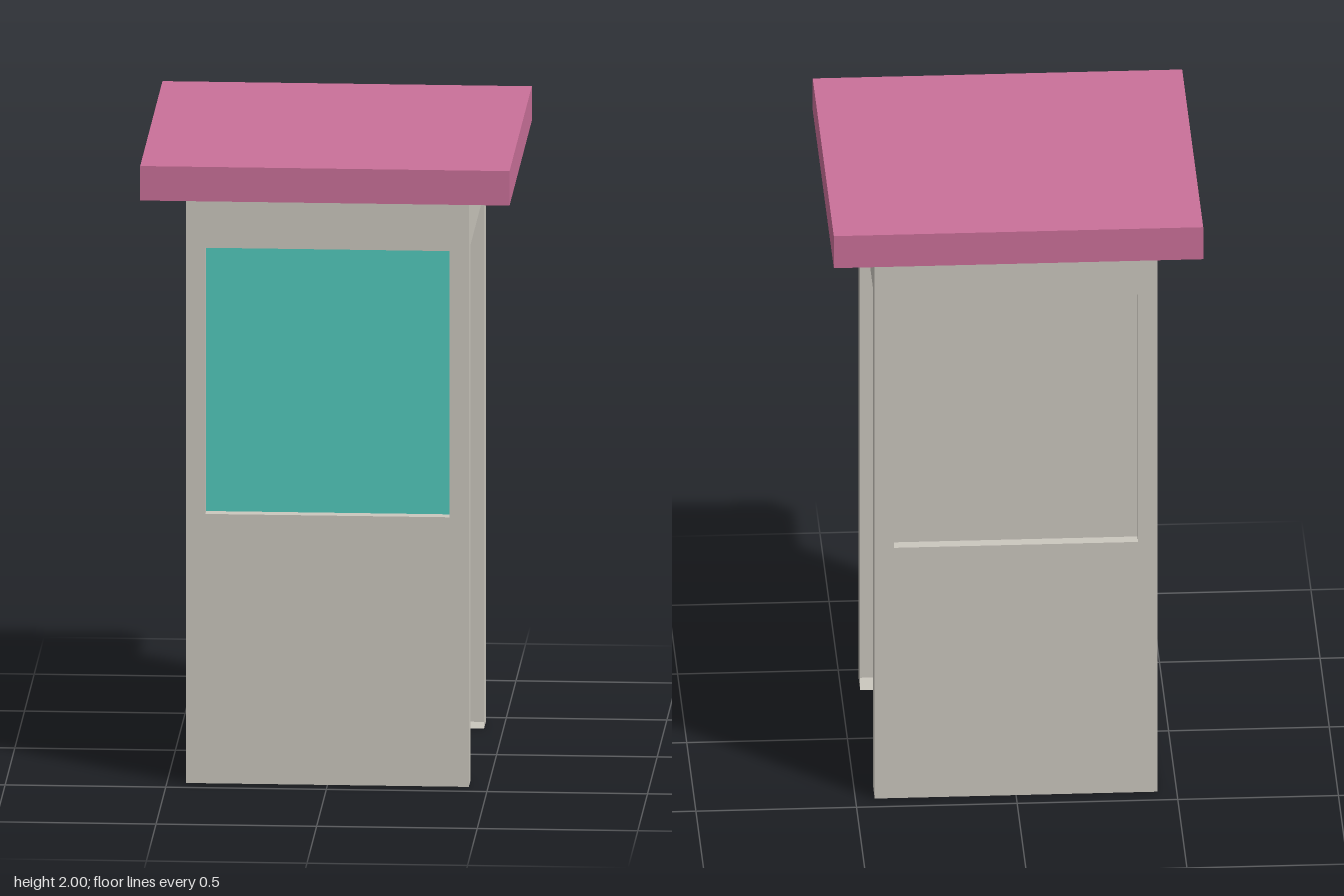
import * as THREE from 'three';

const W = 0.44, TOP = 1.89;            // half width and height of the walls
const WIN_LOW = 0.86, WIN_HIGH = 1.71; // window sill and head
const RECESS = 0.04;                   // depth of the window recess
const JAMB = 0.35;                     // half width of doorway and side window

const paint = (color) => new THREE.MeshStandardMaterial({ color, side: THREE.DoubleSide });

function rect(Type, x0, y0, x1, y1) {
  const r = new Type();
  r.moveTo(x0, y0).lineTo(x1, y0).lineTo(x1, y1).lineTo(x0, y1).closePath();
  return r;
}

export function createModel() {
  const wallMat = paint(0xcbc7be), glassMat = paint(0x52cabd), roofMat = paint(0xca7099);
  const booth = new THREE.Group();
  booth.name = 'booth';

  const add = (parent, name, geometry, material) => {
    const mesh = new THREE.Mesh(geometry, material);
    mesh.name = name;
    parent.add(mesh);
    return mesh;
  };

  // Thin wall sheet with a rectangular opening
  const sheet = (halfHole, low, high) => {
    const s = rect(THREE.Shape, -W, 0, W, TOP);
    s.holes.push(rect(THREE.Path, -halfHole, low, halfHole, high));
    return new THREE.ShapeGeometry(s);
  };

  // Wall with a recessed window panel and a bottom flange, facing +z
  const windowWall = (name, panelMat) => {
    const g = new THREE.Group();
    g.name = name;
    const half = 0.38, h = WIN_HIGH - WIN_LOW, mid = (WIN_HIGH + WIN_LOW) / 2;
    add(g, 'wallSheet', sheet(half, WIN_LOW, WIN_HIGH), wallMat).position.z = W;
    add(g, 'windowPanel', new THREE.PlaneGeometry(2 * half, h), panelMat).position.set(0, mid, W - RECESS);
    for (const s of [-1, 1]) {
      const jamb = add(g, 'windowJamb', new THREE.PlaneGeometry(RECESS, h), wallMat);
      jamb.rotation.y = -s * Math.PI / 2;
      jamb.position.set(s * half, mid, W - RECESS / 2);
      const ledge = add(g, s < 0 ? 'windowSill' : 'windowHead', new THREE.PlaneGeometry(2 * half, RECESS), wallMat);
      ledge.rotation.x = s * Math.PI / 2;
      ledge.position.set(0, mid + s * h / 2, W - RECESS / 2);
    }
    const flange = add(g, 'bottomFlange', new THREE.PlaneGeometry(2 * W, W - JAMB), wallMat);
    flange.rotation.x = Math.PI / 2;
    flange.position.set(0, 0, (W + JAMB) / 2);
    booth.add(g);
    return g;
  };
  windowWall('frontWall', glassMat);
  windowWall('backWall', wallMat).rotation.y = Math.PI;

  // Open doorway on the left side
  const doorShape = new THREE.Shape();
  doorShape.moveTo(-W, 0).lineTo(-JAMB, 0).lineTo(-JAMB, WIN_HIGH).lineTo(JAMB, WIN_HIGH)
    .lineTo(JAMB, 0).lineTo(W, 0).lineTo(W, TOP).lineTo(-W, TOP).closePath();
  const door = add(booth, 'doorFrame', new THREE.ShapeGeometry(doorShape), wallMat);
  door.rotation.y = Math.PI / 2;
  door.position.x = W;

  // Right side with a flush window
  const side = new THREE.Group();
  side.name = 'sideWall';
  add(side, 'wallSheet', sheet(JAMB, WIN_LOW, WIN_HIGH), wallMat);
  add(side, 'sideWindow', new THREE.ShapeGeometry(rect(THREE.Shape, -JAMB, WIN_LOW, JAMB, WIN_HIGH)), glassMat);
  side.rotation.y = -Math.PI / 2;
  side.position.x = -W;
  booth.add(side);

  // Flat overhanging roof slab
  add(booth, 'roof', new THREE.BoxGeometry(1.15, 2 - TOP, 1.15), roofMat).position.y = (2 + TOP) / 2;
  return booth;
}
